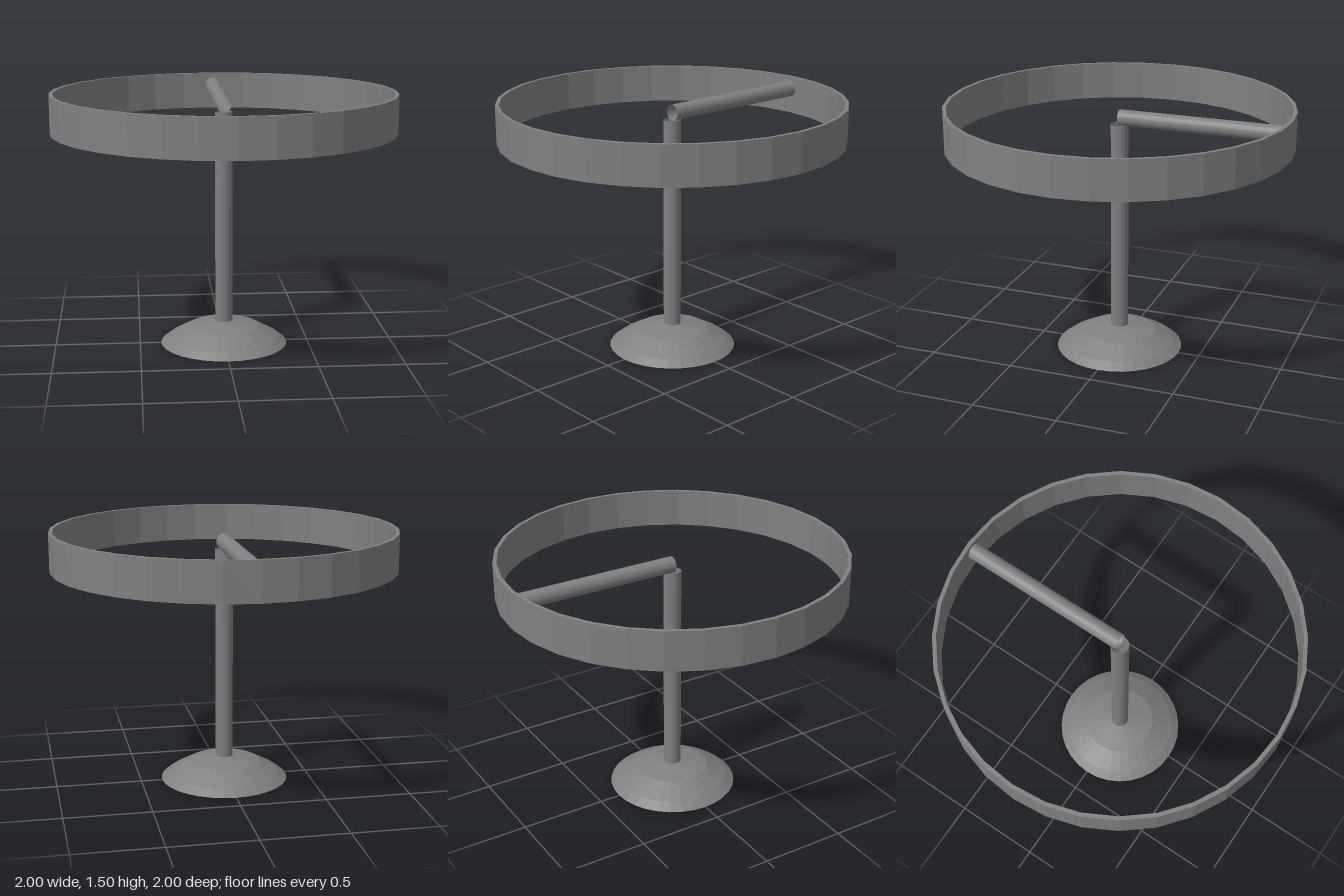
import * as THREE from 'three';

const SEGMENTS = 32;

export function createModel() {
  const group = new THREE.Group();
  const grey = new THREE.MeshStandardMaterial({ color: 0x808080, flatShading: true, side: THREE.DoubleSide });
  grey.name = 'mid grey';

  const add = (name, geometry) => {
    const mesh = new THREE.Mesh(geometry, grey);
    mesh.name = name;
    group.add(mesh);
    return mesh;
  };
  const lathe = (points) =>
    new THREE.LatheGeometry(points.map(([r, y]) => new THREE.Vector2(r, y)), SEGMENTS);
  const tube = (radius, length) =>
    new THREE.CylinderGeometry(radius, radius, length, SEGMENTS, 1, true);

  // Hollow domed foot with a hole for the post
  add('base', lathe([[0.375, 0], [0.327, 0.037], [0.208, 0.103], [0.051, 0.134]]));

  // Open upright tube
  const postBottom = 0.134, postTop = 1.385;
  add('post', tube(0.051, postTop - postBottom)).position.y = (postBottom + postTop) / 2;

  // Open tube lying on the post and reaching back to the ring
  const arm = add('arm', tube(0.046, 0.98));
  arm.rotation.x = Math.PI / 2;
  arm.position.set(0, 1.425, -0.49);

  // Thin-walled hoop
  add('ring', lathe([[0.978, 1.275], [1, 1.275], [1, 1.5], [0.978, 1.5], [0.978, 1.275]]));

  return group;
}
